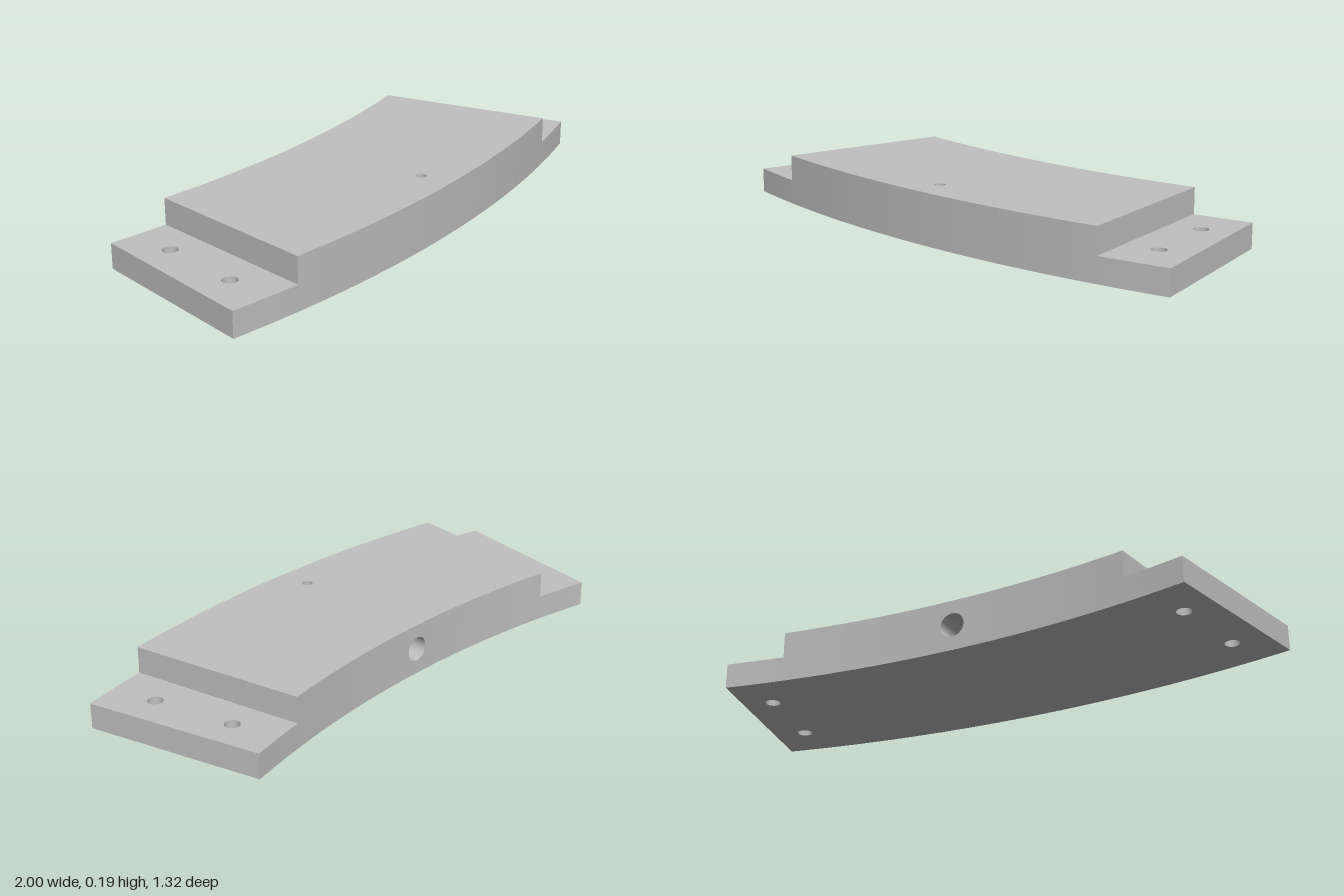
import * as THREE from 'three';

const rad = THREE.MathUtils.degToRad;
// Ring sector: radii, heights, and angles measured from +z towards +x
const RI = 3.905, RO = 4.56, TAB_H = 0.0925, H = 0.189;
const MID = rad(22.65), END = rad(12.97), STEP = rad(9.74);
const A0 = MID - END, A1 = MID - STEP, A2 = MID + STEP, A3 = MID + END;
const AXIS = [-1.656, 0, -3.838];
const PANEL = rad(1); // half angle of the flat patch around the bore
const BORE_R = 0.045, BORE_Y = 0.095, BORE_END = 4.49;

// Turn a surface inside out
function flip(geo) {
  const idx = geo.index.array;
  for (let i = 0; i < idx.length; i += 3) [idx[i], idx[i + 1]] = [idx[i + 1], idx[i]];
  const n = geo.attributes.normal;
  for (let i = 0; i < n.count; i++) n.setXYZ(i, -n.getX(i), -n.getY(i), -n.getZ(i));
  return geo;
}

const steps = (a, b) => Math.max(2, Math.round((b - a) / rad(0.5)));
const polar = (r, a) => new THREE.Vector2(r * Math.sin(a), -r * Math.cos(a));

// Flat ring sector with round holes [radius, angle, hole radius]
function sector(a, b, y, holes = []) {
  const n = steps(a, b), pts = [];
  for (let i = 0; i <= n; i++) pts.push(polar(RO, a + (b - a) * i / n));
  for (let i = n; i >= 0; i--) pts.push(polar(RI, a + (b - a) * i / n));
  const shape = new THREE.Shape(pts);
  for (const [r, t, hr] of holes) {
    const p = polar(r, t);
    shape.holes.push(new THREE.Path().absarc(p.x, p.y, hr, 0, Math.PI * 2, true));
  }
  return new THREE.ShapeGeometry(shape, 16).rotateX(-Math.PI / 2).translate(0, y, 0);
}

// Curved wall between two angles
function wall(r, a, b, h) {
  return new THREE.CylinderGeometry(r, r, h, steps(a, b), 1, true, a, b - a).translate(0, h / 2, 0);
}

// Flat radial face, turned towards rising (+1) or falling (-1) angle
function endFace(a, y0, y1, dir) {
  const m = (RI + RO) / 2;
  return new THREE.PlaneGeometry(RO - RI, y1 - y0)
    .rotateY(a + dir * Math.PI / 2)
    .translate(m * Math.sin(a), (y0 + y1) / 2, m * Math.cos(a));
}

// Inside wall of a vertical hole
function holeWall([r, a, hr], y0, y1) {
  return flip(new THREE.CylinderGeometry(hr, hr, y1 - y0, 32, 1, true))
    .translate(r * Math.sin(a), (y0 + y1) / 2, r * Math.cos(a));
}

export function createModel() {
  const steel = new THREE.MeshStandardMaterial({ color: 0xc0c0c0 });
  steel.name = 'grey metal';
  const model = new THREE.Group();
  model.name = 'curvedSegment';
  const body = new THREE.Group();
  body.name = 'segmentBody';
  body.position.set(...AXIS);
  model.add(body);
  const add = (name, geo) => {
    const mesh = new THREE.Mesh(geo, steel);
    mesh.name = name;
    body.add(mesh);
  };

  // Bolt holes, two in each end tab
  const bolts = side => [4.08, 4.388].map(r => [r, MID + side * rad(11.38), 0.027]);
  const pin = [4.439, MID, 0.02];

  // Underside and raised top
  add('underside', flip(sector(A0, A3, 0, [...bolts(-1), ...bolts(1)])));
  add('raisedTop', sector(A1, A2, H, [pin]));
  add('pinHole', holeWall(pin, BORE_Y + BORE_R - 0.005, H));

  // End tabs with their faces and holes
  for (const [side, a, b] of [[-1, A0, A1], [1, A2, A3]]) {
    const name = side < 0 ? 'rightTab' : 'leftTab';
    add(name + 'Top', sector(a, b, TAB_H, bolts(side)));
    add(name + 'OuterWall', wall(RO, a, b, TAB_H));
    add(name + 'InnerWall', flip(wall(RI, a, b, TAB_H)));
    add(name + 'End', endFace(side < 0 ? a : b, 0, TAB_H, side));
    add(name + 'Step', endFace(side < 0 ? b : a, TAB_H, H, side));
    for (const bolt of bolts(side)) add(name + 'BoltHole', holeWall(bolt, 0, TAB_H));
  }

  // Main curved walls, the inner one split around the bore
  add('outerWall', wall(RO, A1, A2, H));
  add('innerWallRight', flip(wall(RI, A1, MID - PANEL, H)));
  add('innerWallLeft', flip(wall(RI, MID + PANEL, A2, H)));

  // Patch of inner wall with the bore opening
  const half = RI * Math.sin(PANEL), flat = RI * Math.cos(PANEL);
  const patch = new THREE.Shape([
    new THREE.Vector2(-half, 0), new THREE.Vector2(half, 0),
    new THREE.Vector2(half, H), new THREE.Vector2(-half, H),
  ]);
  patch.holes.push(new THREE.Path().absarc(0, BORE_Y, BORE_R, 0, Math.PI * 2, true));
  add('borePatch', new THREE.ShapeGeometry(patch, 24)
    .rotateY(Math.PI).translate(0, 0, flat).rotateY(MID));

  // Blind radial bore
  const depth = BORE_END - flat;
  add('boreWall', flip(new THREE.CylinderGeometry(BORE_R, BORE_R, depth, 48, 1, true))
    .rotateX(Math.PI / 2).translate(0, BORE_Y, flat + depth / 2).rotateY(MID));
  add('boreEnd', new THREE.CircleGeometry(BORE_R, 48)
    .rotateY(Math.PI).translate(0, BORE_Y, BORE_END).rotateY(MID));

  return model;
}
